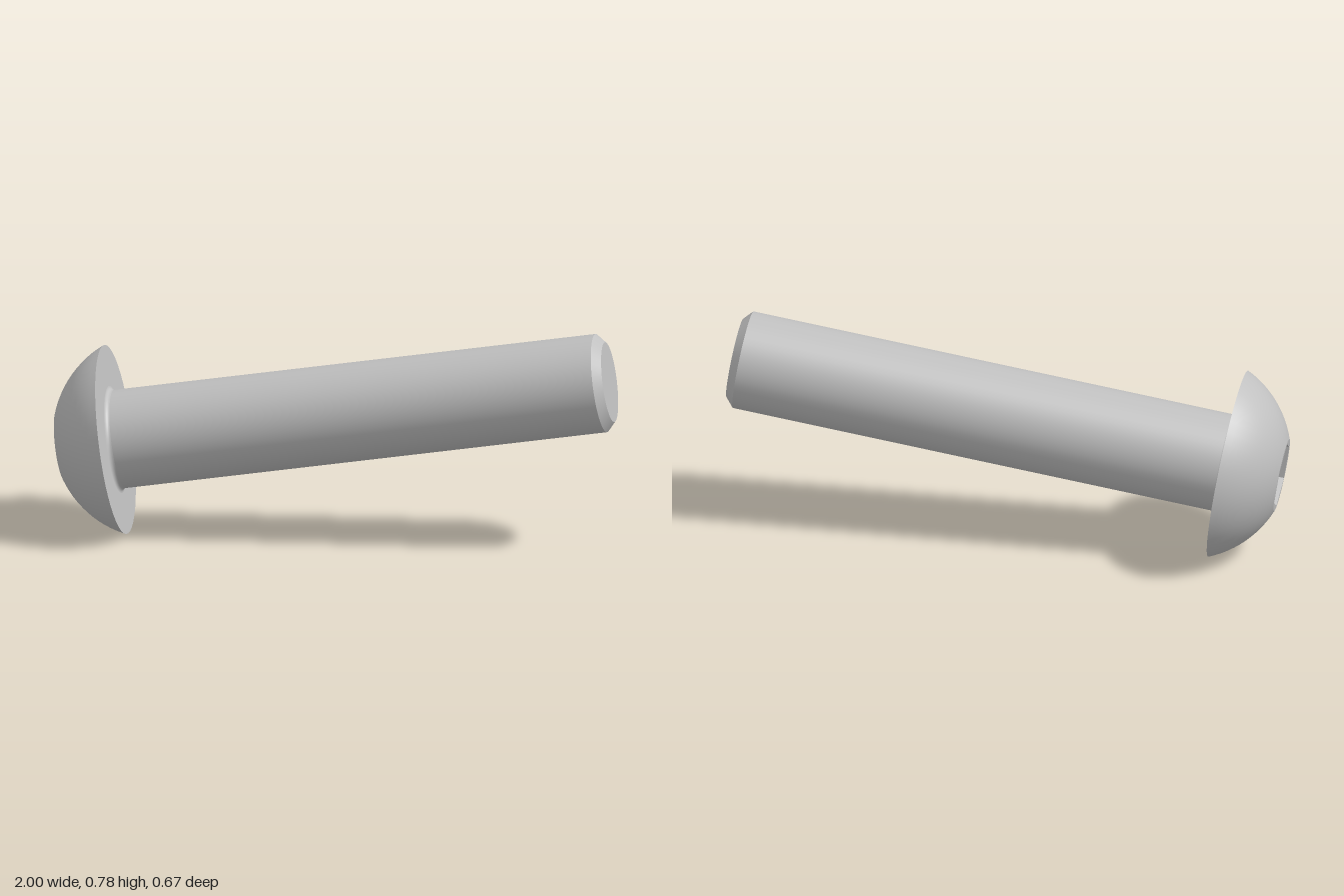
import * as THREE from 'three';

export function createModel() {
  const steel = new THREE.MeshStandardMaterial({ color: 0xc0c0c0 });
  steel.name = 'steel';

  const headR = 0.337, headH = 0.195, flatR = 0.13;
  const shaftR = 0.175, filletR = 0.016, endR = 0.142;
  const length = 1.789, chamfer = 0.03;
  const hexR = 0.123, hexDepth = 0.11;

  const screw = new THREE.Group();
  screw.name = 'screw';

  const add = (name, geometry) => {
    const mesh = new THREE.Mesh(geometry, steel);
    mesh.name = name;
    screw.add(mesh);
  };
  // Points are [radius, height along the axis]; each lathe is smooth, seams stay sharp
  const lathe = (name, points) =>
    add(name, new THREE.LatheGeometry(points.map(p => new THREE.Vector2(...p)), 48));

  // Domed head: spherical arc from the flat crown to the sharp rim
  const c = (headH ** 2 + flatR ** 2 - headR ** 2) / (2 * headH);
  const sphereR = Math.hypot(c, headR);
  const a0 = Math.atan2(headH - c, flatR), a1 = Math.atan2(-c, headR);
  const dome = [];
  for (let i = 0; i <= 12; i++) {
    const a = a0 + (a1 - a0) * i / 12;
    dome.push([sphereR * Math.cos(a), -(c + sphereR * Math.sin(a))]);
  }
  lathe('headDome', dome);
  lathe('headUnderside', [[headR, 0], [shaftR + filletR, 0]]);

  // Fillet between head and shaft
  const fillet = [];
  for (let i = 0; i <= 6; i++) {
    const a = Math.PI / 2 * i / 6;
    fillet.push([shaftR + filletR * (1 - Math.sin(a)), filletR * (1 - Math.cos(a))]);
  }
  lathe('neckFillet', fillet);

  // Shaft with chamfered tip
  lathe('shaft', [[shaftR, filletR], [shaftR, length - chamfer]]);
  lathe('tipChamfer', [[shaftR, length - chamfer], [endR, length]]);
  lathe('tipFace', [[endR, length], [0, length]]);

  // Flat crown with hexagonal opening
  const crown = new THREE.Shape().absarc(0, 0, flatR, 0, Math.PI * 2);
  const hex = [];
  for (let i = 0; i < 6; i++) {
    const a = i * Math.PI / 3;
    hex.push(new THREE.Vector2(hexR * Math.cos(a), hexR * Math.sin(a)));
  }
  crown.holes.push(new THREE.Path(hex));
  add('headCrown', new THREE.ShapeGeometry(crown, 48).rotateX(Math.PI / 2).translate(0, -headH, 0));

  // Hex socket: floor and walls facing inward
  const floorY = hexDepth - headH;
  const socket = new THREE.LatheGeometry([
    new THREE.Vector2(0, floorY),
    new THREE.Vector2(hexR, floorY),
    new THREE.Vector2(hexR, -headH),
  ], 6, Math.PI / 2).toNonIndexed();
  socket.computeVertexNormals();
  add('hexSocket', socket);

  // Tilt so the head rests on its rim, with a socket corner pointing up
  const axis = new THREE.Vector3(1, 0.158, -0.088).normalize();
  const up = new THREE.Vector3(0, 1, 0).addScaledVector(axis, -axis.y).normalize();
  const side = new THREE.Vector3().crossVectors(up, axis);
  screw.quaternion.setFromRotationMatrix(new THREE.Matrix4().makeBasis(up, axis, side));
  screw.position.set(-0.785, 0.333, 0);

  const model = new THREE.Group();
  model.name = 'buttonHeadScrew';
  model.add(screw);
  return model;
}
